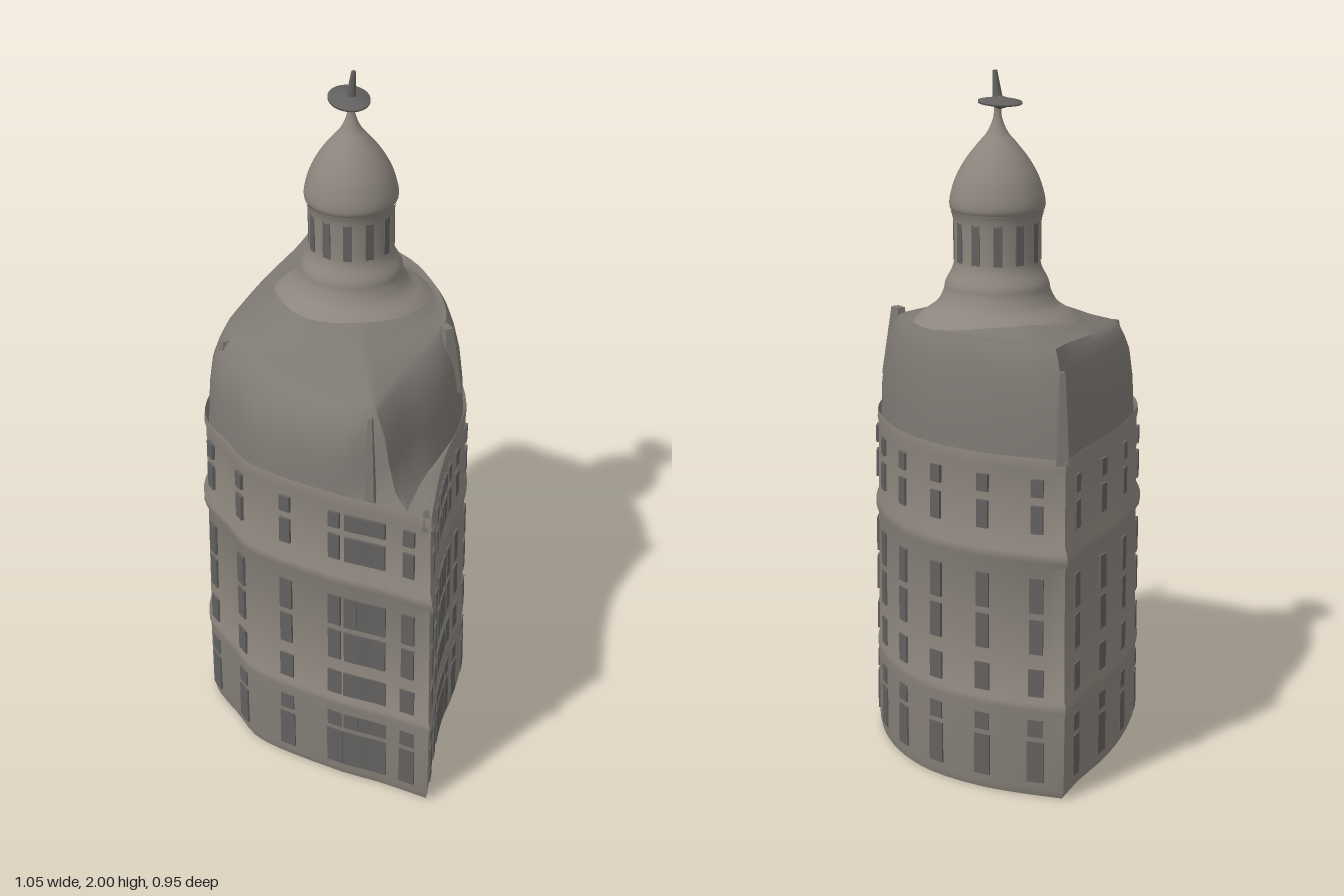
import * as THREE from 'three';
import { toCreasedNormals } from 'three/addons/utils/BufferGeometryUtils.js';

const STONE = 0x8c857d, DARK = 0x62615f, ROOF = 0x7d7872;
const CX = -0.11, CZ = -0.1;   // tower axis
const SEG = 30;                // steps along each curved side

// Footprint and matching roof edge: [wall x, wall z, roof x, roof z, terrace weight]
const PLAN = [
  [-0.52, -0.44, -0.46, -0.4, 0], [-0.375, -0.467, -0.34, -0.4, 0],
  [-0.26, -0.475, -0.24, -0.41, 0], [-0.09, -0.45, -0.09, -0.38, 0],
  [0.045, -0.385, 0.02, -0.32, 0], [0.157, -0.295, 0.12, -0.24, 0],
  [0.247, -0.19, 0.19, -0.15, 0], [0.297, -0.085, 0.21, -0.06, 0],
  [0.345, 0.055, 0.215, 0.05, 0.2], [0.42, 0.225, 0.24, 0.2, 0.75],
  [0.515, 0.405, 0.27, 0.33, 1], [0.38, 0.42, 0.25, 0.335, 0.85],
  [0.185, 0.453, 0.16, 0.32, 0], [0, 0.465, 0, 0.3, 0],
  [-0.095, 0.455, -0.09, 0.28, 0], [-0.207, 0.398, -0.2, 0.26, 0],
  [-0.333, 0.335, -0.31, 0.23, 0], [-0.403, 0.243, -0.35, 0.17, 0],
  [-0.453, 0.085, -0.38, 0.05, 0], [-0.487, -0.1, -0.41, -0.1, 0],
  [-0.5, -0.295, -0.43, -0.27, 0],
];
const sides = [PLAN.slice(0, 11), [...PLAN.slice(10), PLAN[0]]].map(p => ({
  wall: new THREE.CatmullRomCurve3(p.map(a => new THREE.Vector3(a[0], a[4], a[1]))),
  roof: new THREE.CatmullRomCurve3(p.map(a => new THREE.Vector3(a[2], 0, a[3]))),
}));

// Point on the building skin: t moves from the wall line to the roof edge
function skin(side, u, y, scale, t, tCorner) {
  const w = side.wall.getPoint(u), r = side.roof.getPoint(u);
  const k = THREE.MathUtils.lerp(t, tCorner, THREE.MathUtils.clamp(w.y, 0, 1));
  return new THREE.Vector3(
    THREE.MathUtils.lerp(w.x, r.x, k) * scale,
    y - (y > 1.2 ? 0.08 * r.z * k : 0),
    THREE.MathUtils.lerp(w.z, r.z, k) * scale);
}

function skinRing(y, scale, t, tCorner) {
  const ring = [];
  for (const s of sides)
    for (let i = 0; i < SEG; i++) ring.push(skin(s, i / SEG, y, scale, t, tCorner));
  return ring;
}

// Join rings of equal length, listed from bottom to top
function loft(rings, crease) {
  const n = rings[0].length, pos = [], idx = [];
  rings.forEach(r => r.forEach(p => pos.push(p.x, p.y, p.z)));
  for (let i = 0; i < rings.length - 1; i++)
    for (let j = 0; j < n; j++) {
      const a = i * n + j, b = i * n + (j + 1) % n;
      idx.push(a, a + n, b, b, a + n, b + n);
    }
  const g = new THREE.BufferGeometry();
  g.setAttribute('position', new THREE.Float32BufferAttribute(pos, 3));
  g.setIndex(idx);
  return toCreasedNormals(g, crease);
}

export function createModel() {
  const model = new THREE.Group();
  const mats = {};
  const mat = c => mats[c] ??= new THREE.MeshStandardMaterial({ color: c });
  const add = (name, geo, color, parent = model) => {
    const m = new THREE.Mesh(geo, mat(color));
    m.name = name;
    parent.add(m);
    return m;
  };

  // Walls with string courses, closed underneath
  add('walls', loft([
    skinRing(0.012, 0.001, 0, 0), skinRing(0.005, 0.97, 0, 0), skinRing(0.03, 0.99, 0, 0),
    skinRing(0.25, 0.995, 0, 0), skinRing(0.265, 1.005, 0, 0), skinRing(0.285, 1.005, 0, 0),
    skinRing(0.3, 0.99, 0, 0), skinRing(0.68, 0.985, 0, 0), skinRing(0.7, 1.01, 0, 0),
    skinRing(0.725, 1.01, 0, 0), skinRing(0.75, 0.985, 0, 0), skinRing(0.95, 0.98, 0, 0),
    skinRing(0.97, 0.99, 0, 0), skinRing(0.995, 0.985, 0, 0),
  ], 0.6), STONE);

  // Mansard roof, cut back to a low terrace at the front left corner
  const roofRings = [
    [0.995, 0.985, 0, 0], [0.965, 0.98, 0.1, 0.22], [0.965, 0.98, 0.11, 0.42],
    [1.0, 0.98, 0.13, 0.62], [1.08, 0.98, 0.17, 0.74], [1.16, 0.985, 0.33, 0.82],
    [1.21, 0.99, 0.55, 0.88], [1.245, 1, 0.8, 0.95], [1.262, 1, 1, 1],
  ].map(a => skinRing(...a));
  const edge = roofRings[roofRings.length - 1];
  for (const [k, y] of [[0.35, 1.28], [0.7, 1.295], [1, 1.31]])
    roofRings.push(edge.map(p => {
      const a = Math.atan2(p.z - CZ, p.x - CX);
      return new THREE.Vector3(
        THREE.MathUtils.lerp(p.x, CX + 0.2 * Math.cos(a), k),
        THREE.MathUtils.lerp(p.y, y, Math.min(1, k + 0.2)),
        THREE.MathUtils.lerp(p.z, CZ + 0.2 * Math.sin(a), k));
    }));
  add('mansardRoof', loft(roofRings, 0.7), ROOF);

  // Windows follow the curved walls, floor by floor: [y, height, width]
  const windows = new THREE.Group();
  windows.name = 'windows';
  model.add(windows);
  const floors = [[0.11, 0.12, 0.05], [0.21, 0.05, 0.045], [0.345, 0.08, 0.045],
    [0.48, 0.1, 0.04], [0.6, 0.1, 0.04], [0.82, 0.08, 0.035], [0.91, 0.05, 0.035]];
  for (const side of sides) {
    const count = 13;
    for (let i = 0; i < count; i++) {
      const u = side.wall.getUtoTmapping((i + 0.5) / count);
      const p = skin(side, u, 0, 0.987, 0, 0);
      const d = skin(side, u + 0.01, 0, 0.987, 0, 0).sub(skin(side, u - 0.01, 0, 0.987, 0, 0));
      for (const [y, h, w] of floors) {
        const m = add('window', new THREE.BoxGeometry(w, h, 0.012), DARK, windows);
        m.position.set(p.x, y, p.z);
        m.rotation.y = Math.atan2(-d.z, d.x);
      }
    }
  }

  // Domed tower with a flared foot
  const profile = (pts, smooth) => {
    const v = pts.map(([r, y]) => new THREE.Vector2(r, y));
    return new THREE.LatheGeometry(smooth ? new THREE.SplineCurve(v).getPoints(50) : v, 40);
  };
  const tower = new THREE.Group();
  tower.name = 'tower';
  tower.position.set(CX, 0, CZ);
  model.add(tower);
  add('drum', profile([[0.25, 1.275], [0.215, 1.305], [0.175, 1.335], [0.155, 1.37],
    [0.148, 1.4], [0.128, 1.44], [0.123, 1.48], [0.126, 1.57], [0.135, 1.605]], true), STONE, tower);
  add('dome', profile([[0.125, 1.595], [0.137, 1.615], [0.134, 1.65], [0.118, 1.7],
    [0.09, 1.75], [0.055, 1.795], [0.03, 1.825], [0.013, 1.865], [0.01, 1.9]], true), STONE, tower);
  for (let i = 0; i < 12; i++) {
    const a = i / 12 * Math.PI * 2;
    const w = add('towerWindow', new THREE.BoxGeometry(0.025, 0.12, 0.01), DARK, tower);
    w.position.set(Math.sin(a) * 0.121, 1.52, Math.cos(a) * 0.121);
    w.rotation.y = a;
  }

  // Finial: stem, oval plate and leaning tip
  const plate = add('finialPlate', profile([[0, 1.89], [0.03, 1.9], [0.075, 1.908],
    [0.075, 1.914], [0.03, 1.922], [0, 1.93]]), DARK, tower);
  plate.scale.set(1.2, 1, 0.8);
  plate.rotation.y = -Math.PI / 4;
  plate.position.set(-0.01, 0, -0.004);
  const tip = add('finialTip', new THREE.CylinderGeometry(0.007, 0.016, 0.09, 8), DARK, tower);
  tip.position.set(0.004, 1.955, 0);
  tip.rotation.z = -0.12;

  // Parapet spikes and dormer lumps: [name, x, z, bottom, top, width, depth, turn]
  for (const [name, x, z, y0, y1, w, d, turn] of [
    ['cornerSpike', -0.495, -0.425, 0.98, 1.24, 0.035, 0.035, 0.7],
    ['terraceFin', 0.3, 0.395, 0.95, 1.25, 0.03, 0.05, 0.45],
    ['terraceCornerPost', 0.485, 0.39, 0.95, 1.015, 0.03, 0.03, 0.8],
    ['dormer', -0.305, 0.255, 1.1, 1.235, 0.05, 0.07, -0.5],
    ['dormer', 0.225, -0.1, 1.08, 1.285, 0.06, 0.09, 1.1],
  ]) {
    const g = new THREE.BoxGeometry(w, y1 - y0, d);
    const p = g.attributes.position;
    for (let i = 0; i < p.count; i++)   // taper the top
      if (p.getY(i) > 0) p.setXYZ(i, p.getX(i) * 0.4, p.getY(i), p.getZ(i) * 0.4);
    g.computeVertexNormals();
    const m = add(name, g, ROOF);
    m.position.set(x, (y0 + y1) / 2, z);
    m.rotation.y = turn;
  }
  return model;
}
